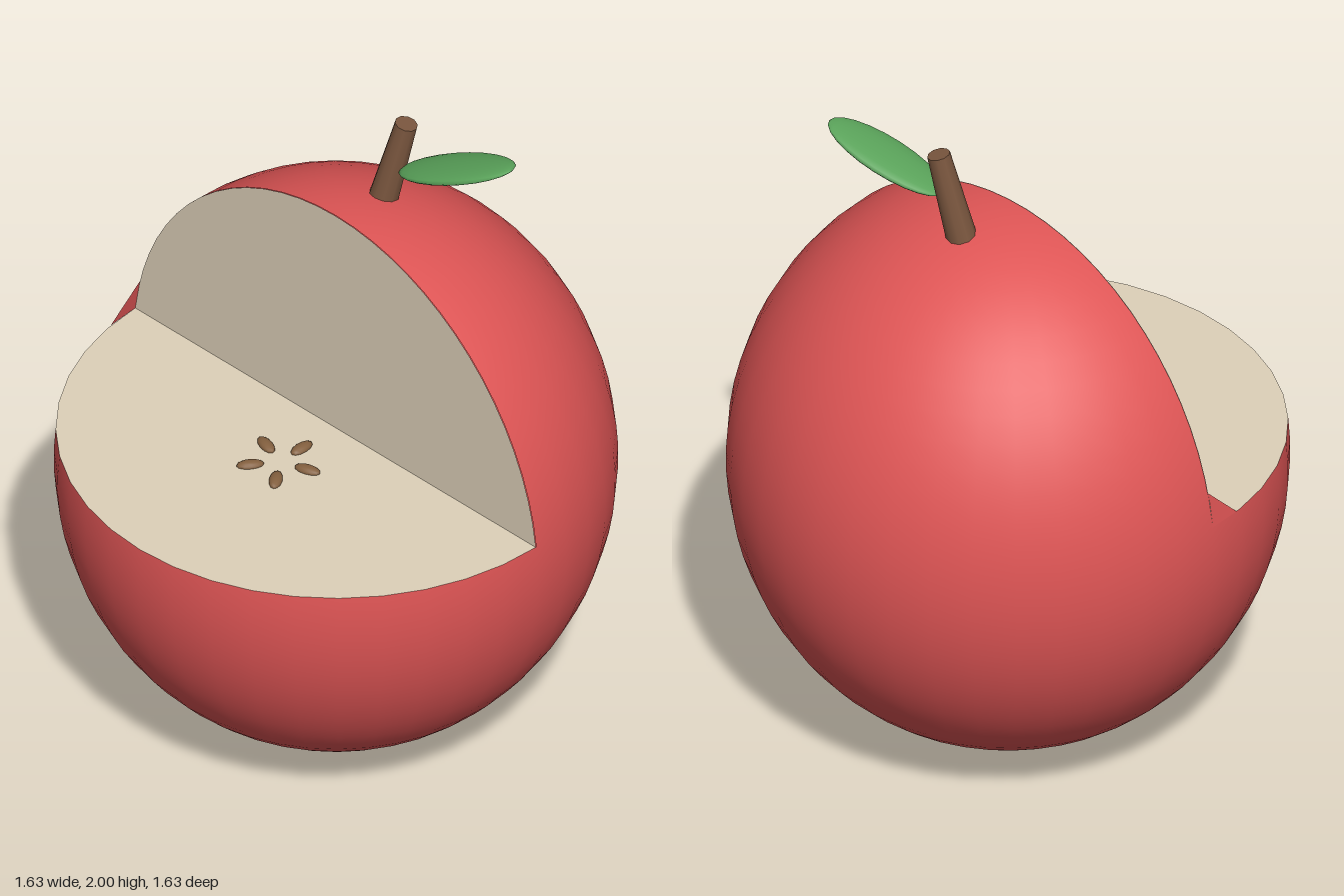
import * as THREE from 'three';

const R = 0.815, H = 0.876, CY = 0.88; // fruit radii and centre height
const CUT = Math.acos(0.12);           // polar angle of the level cut
const CUT_Y = CY + H * 0.12;
const CUT_R = R * Math.sin(CUT);

function material(name, color, side = THREE.FrontSide) {
  const m = new THREE.MeshStandardMaterial({ color, side });
  m.name = name;
  return m;
}

export function createModel() {
  const group = new THREE.Group();
  group.name = 'cutApple';
  const red = material('red skin', 0xdf5555, THREE.DoubleSide);
  const cream = material('cream flesh', 0xded1b9, THREE.DoubleSide);
  const brown = material('brown stem', 0x7b573f);
  const seedBrown = material('seed brown', 0x84603f);
  const green = material('leaf green', 0x5aa35a);

  const add = (name, geometry, mat, x = 0, y = 0, z = 0) => {
    const mesh = new THREE.Mesh(geometry, mat);
    mesh.name = name;
    mesh.position.set(x, y, z);
    group.add(mesh);
    return mesh;
  };

  // Skin: whole lower bowl and the back half of the top
  const lower = new THREE.SphereGeometry(1, 40, 20, 0, Math.PI * 2, CUT, Math.PI - CUT);
  add('lowerSkin', lower.scale(R, H, R), red, 0, CY, 0);
  const upper = new THREE.SphereGeometry(1, 20, 16, Math.PI, Math.PI, 0, CUT);
  add('upperSkin', upper.scale(R, H, R), red, 0, CY, 0);

  // Small web of skin left in one corner of the cut
  const web = new THREE.BufferGeometry().setFromPoints([
    new THREE.Vector3(-CUT_R, CUT_Y, 0),
    new THREE.Vector3(-0.802, CUT_Y, 0.11),
    new THREE.Vector3(-0.79, CUT_Y + 0.11, 0),
  ]);
  web.computeVertexNormals();
  add('skinWeb', web, red);

  // Flesh: level half disc and upright wall
  const floor = new THREE.CircleGeometry(CUT_R, 20, Math.PI, Math.PI);
  add('fleshFloor', floor.rotateX(-Math.PI / 2), cream, 0, CUT_Y, 0);
  const arc = [];
  for (let i = -16; i <= 16; i++) {
    const a = (i / 16) * CUT;
    arc.push(new THREE.Vector2(R * Math.sin(a), CY + H * Math.cos(a)));
  }
  add('fleshWall', new THREE.ShapeGeometry(new THREE.Shape(arc.reverse())), cream, 0, 0, 0.002);

  // Star of five seeds
  for (let i = 0; i < 5; i++) {
    const a = (i / 5) * Math.PI * 2;
    const geo = new THREE.SphereGeometry(1, 12, 8).scale(0.02, 0.014, 0.041);
    const seed = add('seed', geo, seedBrown, 0.088 * Math.sin(a), CUT_Y + 0.002, 0.23 - 0.088 * Math.cos(a));
    seed.rotation.y = -a;
  }

  // Leaning stem
  const base = new THREE.Vector3(-0.002, 1.7, -0.192);
  const tip = new THREE.Vector3(0.057, 1.994, -0.232);
  const dir = tip.clone().sub(base);
  const stem = add('stem', new THREE.CylinderGeometry(0.034, 0.046, dir.length(), 10), brown);
  stem.position.copy(base).add(tip).multiplyScalar(0.5);
  stem.quaternion.setFromUnitVectors(new THREE.Vector3(0, 1, 0), dir.normalize());

  // Flattened leaf rising to one side
  const along = new THREE.Vector3(0.36, 0.14, -0.1).normalize();
  const across = new THREE.Vector3(0.27, 0, 0.96).normalize();
  const up = across.clone().cross(along).normalize();
  across.crossVectors(along, up);
  const leafGeo = new THREE.SphereGeometry(1, 16, 12).rotateZ(Math.PI / 2).scale(0.2, 0.02, 0.085);
  const leaf = add('leaf', leafGeo, green, 0.24, 1.915, -0.255);
  leaf.quaternion.setFromRotationMatrix(new THREE.Matrix4().makeBasis(along, up, across));

  return group;
}
